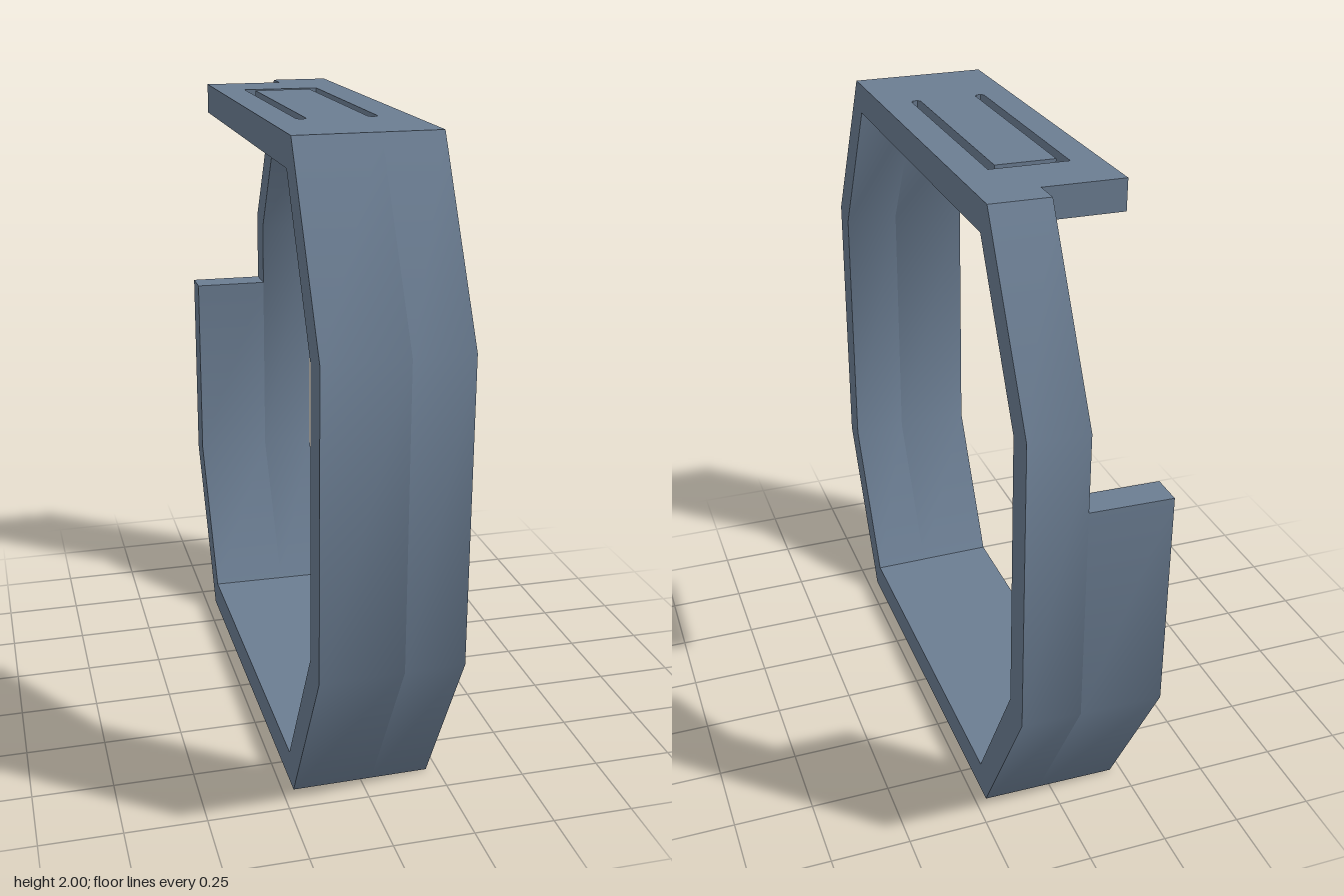
import * as THREE from 'three';
import { toCreasedNormals } from 'three/addons/utils/BufferGeometryUtils.js';

const HALF = 0.215;   // half width of the band
const STEP = 0.035;   // x where the corner cutout ends

const shapeOf = (pts) => new THREE.Shape(pts.map(([a, b]) => new THREE.Vector2(a, b)));

// The band is slightly longer on its right (-x) side.
function taper(geo) {
  const p = geo.attributes.position;
  for (let i = 0; i < p.count; i++) p.setZ(i, p.getZ(i) * (1 - 0.024 * p.getX(i)));
  return toCreasedNormals(geo, 0.7);
}

// Extrude a (z, y) profile across x from x0 to x1.
function slice(profile, x0, x1) {
  const geo = new THREE.ExtrudeGeometry(shapeOf(profile), { depth: x1 - x0, bevelEnabled: false });
  return taper(geo.rotateY(-Math.PI / 2).translate(x1, 0, 0));
}

export function createModel() {
  const group = new THREE.Group();
  const slate = new THREE.MeshStandardMaterial({ color: 0x6b7d92 });
  slate.name = 'slate';
  const add = (name, geo) => {
    const mesh = new THREE.Mesh(geo, slate);
    mesh.name = name;
    group.add(mesh);
  };

  // Shared band outline: outside from lower back to upper front, then back along the inside
  const band = [
    [-0.962, 0.54], [-0.653, 0], [0.653, 0], [0.962, 0.54], [0.962, 1.46], [0.653, 2], [0.6, 2],
    [0.6, 1.905], [0.865, 1.435], [0.865, 0.567], [0.6, 0.1], [-0.6, 0.1], [-0.865, 0.567],
  ];

  // Left strip runs all the way round; right strip stops at the cutout
  add('leftBand', slice(
    [[-0.57, 2], [-0.653, 2], [-0.962, 1.46], ...band, [-0.865, 1.435], [-0.6, 1.905], [-0.57, 1.905]],
    STEP, HALF));
  add('rightBand', slice([[-0.962, 1.22], ...band, [-0.865, 1.22]], -HALF, STEP));

  // Top plate with a U-shaped slot that frees the spring tongue (shape y is -z)
  const plate = shapeOf([[-HALF, -0.6], [HALF, -0.6], [HALF, 0.57], [-HALF, 0.57]]);
  plate.holes.push(new THREE.Path([
    [-0.125, -0.34], [-0.117, -0.35], [-0.103, -0.35], [-0.095, -0.34], [-0.095, 0.352],
    [0.088, 0.352], [0.088, -0.34], [0.096, -0.35], [0.11, -0.35], [0.118, -0.34],
    [0.118, 0.382], [-0.125, 0.382],
  ].map(([a, b]) => new THREE.Vector2(a, b))));
  const top = new THREE.ExtrudeGeometry(plate, { depth: 0.095, bevelEnabled: false });
  add('topPlate', taper(top.rotateX(-Math.PI / 2).translate(0, 1.905, 0)));

  // Catch under the tip of the tongue
  add('tongueCatch', new THREE.BoxGeometry(0.12, 0.045, 0.11).translate(0, 1.8925, -0.272));

  return group;
}
